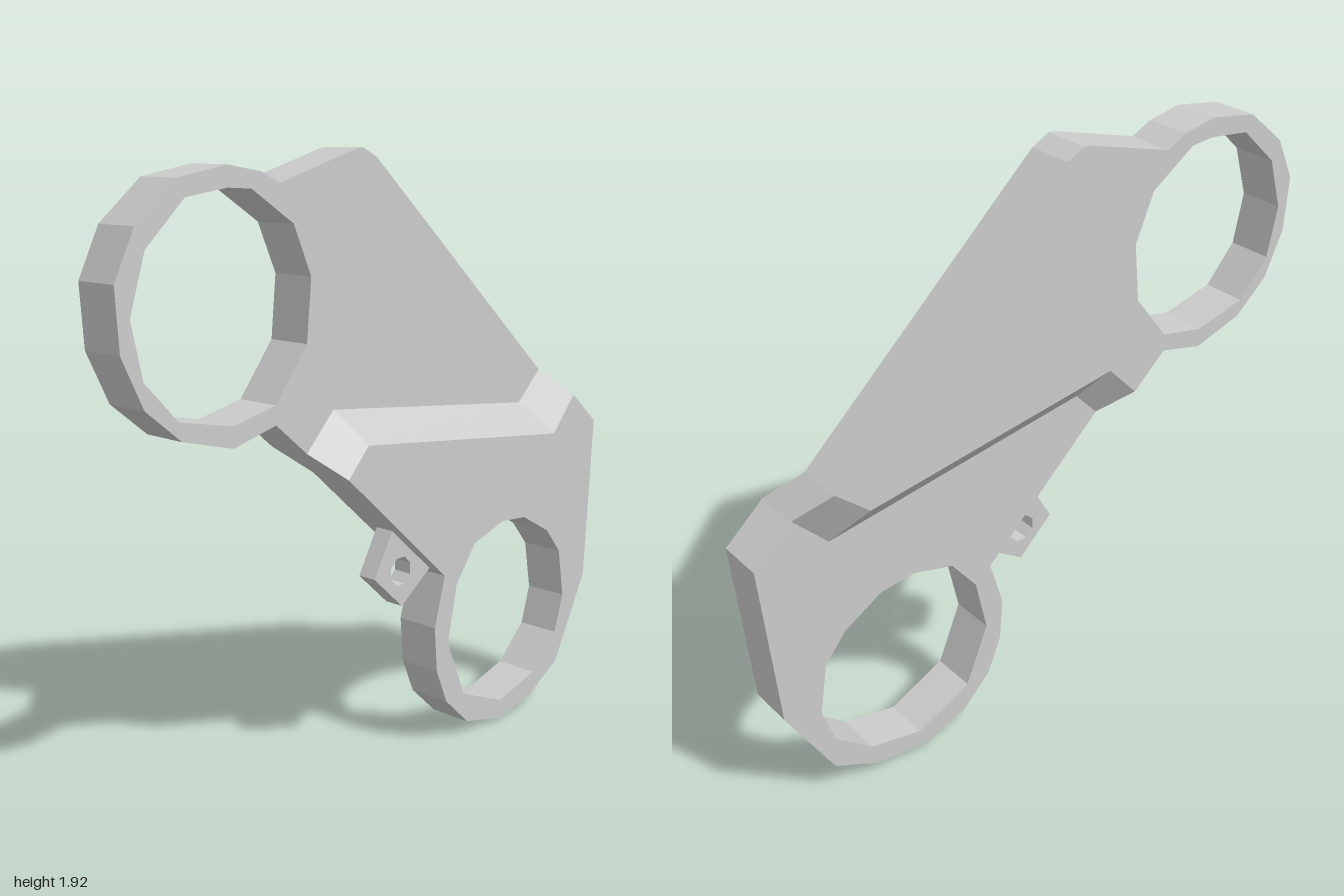
import * as THREE from 'three';

const THICK = 0.147; // plate thickness
const UPPER_X = -0.118; // inner face of the upper plate
const STEP = 0.086; // sideways offset of the lower plate

// Extrude a [z, y] outline along +x, starting at x
function plate(name, material, outline, hole, x, depth) {
  const toPoints = list => list.map(([z, y]) => new THREE.Vector2(-z, y));
  const points = toPoints(outline);
  // A counter-clockwise outline keeps the hole walls facing into the hole
  if (THREE.ShapeUtils.isClockWise(points)) points.reverse();
  const shape = new THREE.Shape(points);
  if (hole) shape.holes.push(new THREE.Path(toPoints(hole)));
  const geometry = new THREE.ExtrudeGeometry(shape, { depth, bevelEnabled: false, steps: 1 });
  geometry.rotateY(Math.PI / 2).translate(x, 0, 0);
  const mesh = new THREE.Mesh(geometry, material);
  mesh.name = name;
  return mesh;
}

export function createModel() {
  const group = new THREE.Group();
  group.name = 'steppedClamp';
  const material = new THREE.MeshStandardMaterial({ color: 0xcccccc, flatShading: true });

  // Upper and lower fold lines of the step
  const upperFold = [[-0.78, 1.17], [-0.67, 1.07], [0.23, 1.175], [0.34, 1.06]];
  const lowerFold = [[-0.87, 1.08], [-0.76, 0.96], [0.17, 1.07], [0.255, 0.98]];

  // Upper plate with its ring
  group.add(plate('upperPlate', material, [
    [0.43, 1.832], [0.13, 1.92], [0.10, 1.924], [0.04, 1.895],
    ...upperFold,
    [0.46, 1.163], [0.62, 1.122], [0.80, 1.17], [0.92, 1.27], [0.99, 1.42],
    [1.0, 1.6], [0.93, 1.74], [0.79, 1.855], [0.62, 1.885], [0.50, 1.865],
  ], [
    [0.765, 1.805], [0.62, 1.825], [0.535, 1.82], [0.38, 1.72], [0.315, 1.57], [0.335, 1.38],
    [0.46, 1.22], [0.62, 1.185], [0.81, 1.225], [0.92, 1.345], [0.955, 1.51], [0.90, 1.68],
  ], UPPER_X, THICK));

  // Lower plate with its ring
  group.add(plate('lowerPlate', material, [
    ...[...lowerFold].reverse(),
    [-1, 0.97], [-0.965, 0.41], [-0.81, 0.12], [-0.66, 0.035], [-0.49, 0],
    [-0.31, 0.045], [-0.2, 0.15], [-0.15, 0.27], [-0.138, 0.42], [-0.185, 0.585],
  ], [
    [-0.48, 0.705], [-0.6, 0.695], [-0.735, 0.62], [-0.81, 0.53], [-0.84, 0.36], [-0.8, 0.23],
    [-0.675, 0.115], [-0.49, 0.065], [-0.29, 0.15], [-0.205, 0.35], [-0.245, 0.54], [-0.335, 0.66],
  ], UPPER_X + STEP, THICK));

  // Slanted step: three panels sheared sideways between the fold lines
  for (let i = 0; i < 3; i++) {
    const low = [lowerFold[i], lowerFold[i + 1]];
    const panel = plate('stepPanel' + (i + 1), material,
      [upperFold[i], upperFold[i + 1], low[1], low[0]], null, UPPER_X, THICK);
    const p = panel.geometry.attributes.position;
    for (let k = 0; k < p.count; k++) {
      const onLow = low.some(([z, y]) => Math.hypot(p.getZ(k) - z, p.getY(k) - y) < 1e-4);
      if (onLow) p.setX(k, p.getX(k) + STEP);
    }
    panel.geometry.computeVertexNormals();
    group.add(panel);
  }

  // Small drilled lug on the lower edge
  const lugHole = [];
  for (let i = 0; i < 8; i++) {
    const a = (i + 0.5) * Math.PI / 4;
    lugHole.push([-0.02 + 0.048 * Math.cos(a), 0.63 + 0.048 * Math.sin(a)]);
  }
  group.add(plate('lug', material,
    [[0.02, 0.77], [0.1, 0.63], [-0.025, 0.515], [-0.16, 0.61]], lugHole, 0.008, 0.065));

  return group;
}
